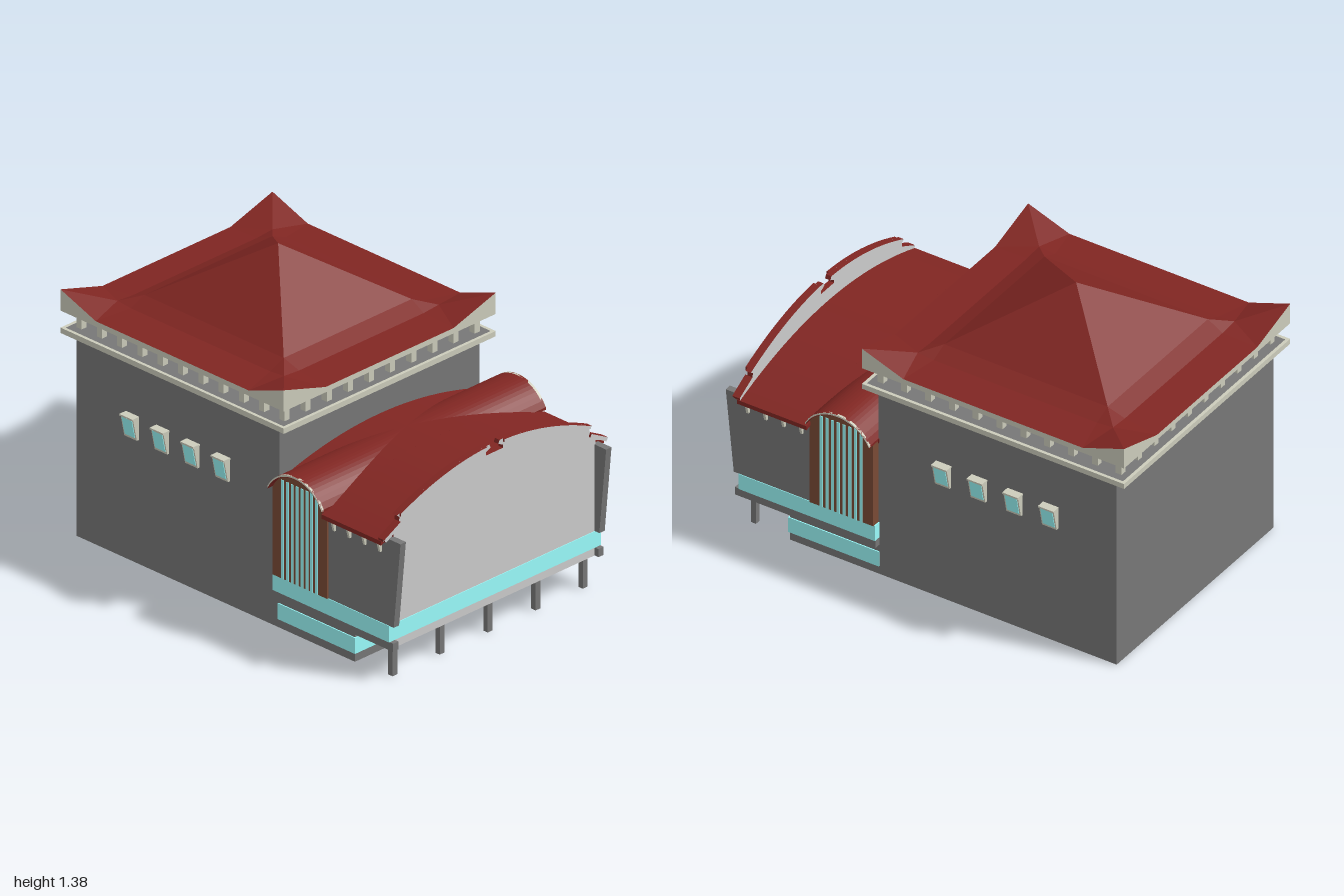
import * as THREE from 'three';

const mat = (color) => new THREE.MeshStandardMaterial({ color, flatShading: true, side: THREE.DoubleSide });

export function createModel() {
  const root = new THREE.Group();
  const light = mat(0xcccccc), dark = mat(0x777777), cream = mat(0xccccbb);
  const red = mat(0x802622), cyan = mat(0x9bfcfc), brown = mat(0x7a4a35);

  const add = (name, geometry, material, parent = root) => {
    const m = new THREE.Mesh(geometry, material);
    m.name = name;
    parent.add(m);
    return m;
  };
  // Box given by its limits on each axis
  const box = (name, material, x0, x1, y0, y1, z0, z1, parent) => {
    const g = new THREE.BoxGeometry(x1 - x0, y1 - y0, z1 - z0);
    return add(name, g.translate((x0 + x1) / 2, (y0 + y1) / 2, (z0 + z1) / 2), material, parent);
  };
  const shapeOf = (pts) => new THREE.Shape(pts.map(([x, y]) => new THREE.Vector2(x, y)));
  // Outline of [x, y] points extruded from z0 to z1
  const extrudeZ = (name, material, pts, z0, z1, parent) =>
    add(name, new THREE.ExtrudeGeometry(shapeOf(pts), { depth: z1 - z0, bevelEnabled: false }).translate(0, 0, z0), material, parent);
  // Outline of [z, y] points extruded from x0 to x1
  const extrudeX = (name, material, pts, x0, x1, parent) =>
    add(name, new THREE.ExtrudeGeometry(shapeOf(pts.map(([z, y]) => [-z, y])), { depth: x1 - x0, bevelEnabled: false })
      .rotateY(Math.PI / 2).translate(x0, 0, 0), material, parent);
  const sample = (f, a, b, n) => Array.from({ length: n + 1 }, (_, i) => {
    const t = a + (b - a) * i / n;
    return [t, f(t)];
  });
  // Curved band of given thickness hanging below f
  const band = (f, a, b, n, thick) =>
    [...sample(f, a, b, n), ...sample((t) => f(t) - thick, b, a, n)];

  // Main block and cornice
  box('mainBlock', dark, -0.595, 0.595, 0, 0.965, -0.94, 0.255);
  box('corniceSlab', dark, -0.62, 0.62, 0.946, 0.969, -0.99, 0.305);
  for (const s of [-1, 1]) {
    const cx = s * 0.6225, cz = -0.3425 + s * 0.65;
    box('corniceEdge', cream, cx - 0.0075, cx + 0.0075, 0.945, 0.97, -1, 0.315);
    box('corniceEdge', cream, -0.63, 0.63, 0.945, 0.97, cz - 0.0075, cz + 0.0075);
  }
  for (let i = 0; i < 10; i++) for (let j = 0; j < 11; j++) {
    if (i % 9 && j % 10) continue;
    const x = -0.565 + i * 0.1256, z = -0.94 + j * 0.1195;
    box('corniceBlock', cream, x - 0.015, x + 0.015, 0.97, 1.05, z - 0.015, z + 0.015);
  }

  // Upswept pyramid roof: rings of 12 points, three per side starting at a corner
  const zc = -0.3425;
  const ring = (hx, hz, mx, mz, yCorner, yMid) => [
    [hx, yCorner, hz], [mx, yMid, hz], [-mx, yMid, hz],
    [-hx, yCorner, hz], [-hx, yMid, mz], [-hx, yMid, -mz],
    [-hx, yCorner, -hz], [-mx, yMid, -hz], [mx, yMid, -hz],
    [hx, yCorner, -hz], [hx, yMid, -mz], [hx, yMid, mz],
  ];
  const skin = (rings) => {
    const v = [];
    for (let r = 0; r + 1 < rings.length; r++) for (let i = 0; i < 12; i++) {
      const j = (i + 1) % 12, [a, b, c, d] = [rings[r][i], rings[r][j], rings[r + 1][j], rings[r + 1][i]];
      // Diagonal mirrored at each corner
      v.push(...(i % 3 === 2 ? [a, d, b, b, d, c] : [a, c, b, a, d, c]).flat());
    }
    const g = new THREE.BufferGeometry();
    g.setAttribute('position', new THREE.Float32BufferAttribute(v, 3));
    g.computeVertexNormals();
    return g.translate(0, 0, zc);
  };
  const rim = ring(0.63, 0.6575, 0.38, 0.45, 1.15, 1.075);
  const valley = ring(0.46, 0.49, 0.37, 0.41, 1.095, 1.088);
  const base = ring(0.38, 0.41, 0.25, 0.28, 1.122, 1.122);
  const tip = base.map(() => [0, 1.375, 0]);
  add('pyramidRoof', skin([tip, base, valley, rim]), red);
  add('roofFascia', skin([rim, rim.map(([x, , z]) => [x, 1.05, z])]), cream);
  box('roofSoffit', dark, -0.629, 0.629, 1.05, 1.055, -0.999, 0.314);

  // Front hall: lower storey, posts, floor and glazing band
  box('lowerStorey', dark, -0.595, 0.595, 0, 0.15, 0.25, 0.7);
  box('lowerGlazing', cyan, -0.6, 0.6, 0.04, 0.115, 0.25, 0.705);
  for (const x of [-0.565, -0.285, 0, 0.285, 0.565])
    box('post', dark, x - 0.014, x + 0.014, 0, 0.15, 0.88, 0.906);
  box('hallFloor', dark, -0.6, 0.6, 0.15, 0.188, 0.25, 0.92);
  box('hallGlazing', cyan, -0.63, 0.63, 0.188, 0.265, 0.25, 0.935);

  // Facade with curved parapet, shoulder notches and a keystone notch
  const parapet = (x) => 0.9 - 0.4 * x * x;
  const halfTop = (drop) => [
    [0.66, 0.67], [0.665, 0.684], [0.567, 0.735], [0.565, 0.755], [0.58, 0.765],
    ...sample(parapet, 0.56, 0.03, 12), [0.023, 0.883], [0.05, 0.87], [0.05, 0.855],
  ].map(([x, y]) => [x, y - drop]);
  const mirror = (pts) => pts.map(([x, y]) => [-x, y]).reverse();
  const right = [[0.6, 0.15], [0.6, 0.692], ...halfTop(0)];
  extrudeZ('facade', [light, red], [...right, ...mirror(right)], 0.905, 0.932);

  // Hall roof: shallow arch crossed by a barrel vault
  const arch = (x) => 0.79 - 0.12 * (x / 0.665) ** 2;
  const vault = (z) => 0.61 + Math.sqrt(Math.max(0, 0.18 ** 2 - (z - 0.415) ** 2));
  extrudeZ('hallRoof', red, band(arch, -0.663, 0.663, 24, 0.02), 0.57, 0.92);
  extrudeZ('hallRoofRear', red, band(arch, -0.6, 0.6, 24, 0.02), 0.25, 0.57);
  extrudeX('barrelVault', red, band(vault, 0.255, 0.575, 20, 0.012), -0.665, 0.665);

  // Both hall sides and the main block windows
  for (const s of [1, -1]) {
    const side = new THREE.Group();
    side.name = s > 0 ? 'leftSide' : 'rightSide';
    side.scale.x = s;
    root.add(side);

    // Raised parapet moulding
    extrudeZ('shoulderMoulding', [light, red],
      [[0.655, 0.668], [0.665, 0.684], [0.567, 0.735], [0.56, 0.72]], 0.925, 0.942, side);
    extrudeZ('parapetMoulding', [light, red], band(parapet, 0.05, 0.565, 12, 0.014), 0.925, 0.942, side);

    box('floorEdge', dark, 0.595, 0.626, 0.15, 0.188, 0.25, 0.955, side);
    extrudeX('sideWall', dark, [[0.57, 0.265], [0.96, 0.265], [1, 0.672], [0.57, 0.672]], 0.595, 0.627, side);
    extrudeX('archedPanel', brown,
      [[0.575, 0.265], [0.255, 0.265], ...sample((z) => vault(z) - 0.01, 0.255, 0.575, 20)], 0.595, 0.635, side);
    extrudeX('archTrim', cream, band(vault, 0.255, 0.575, 20, 0.008), 0.655, 0.667, side);
    for (let i = 0; i < 8; i++) {
      const z = 0.315 + i * 0.0285;
      box('glassStrip', cyan, 0.63, 0.638, 0.265, 0.73, z - 0.007, z + 0.007, side);
    }
    for (let i = 0; i < 4; i++) {
      const ze = 0.615 + i * 0.09;
      extrudeZ('eaveBracket', cream,
        [[0.62, 0.6], [0.637, 0.6], [0.655, 0.672], [0.62, 0.685]], ze - 0.006, ze + 0.006, side);
      // Window box leaning out at the top
      const zw = -0.073 - i * 0.179;
      extrudeZ('windowFrame', cream,
        [[0.59, 0.583], [0.607, 0.583], [0.63, 0.69], [0.59, 0.69]], zw - 0.037, zw + 0.037, side);
      extrudeZ('windowPane', cyan,
        [[0.6, 0.595], [0.612, 0.595], [0.631, 0.682], [0.6, 0.682]], zw - 0.03, zw + 0.03, side);
      box('windowHood', cream, 0.59, 0.635, 0.685, 0.693, zw - 0.039, zw + 0.039, side);
    }
  }
  return root;
}
